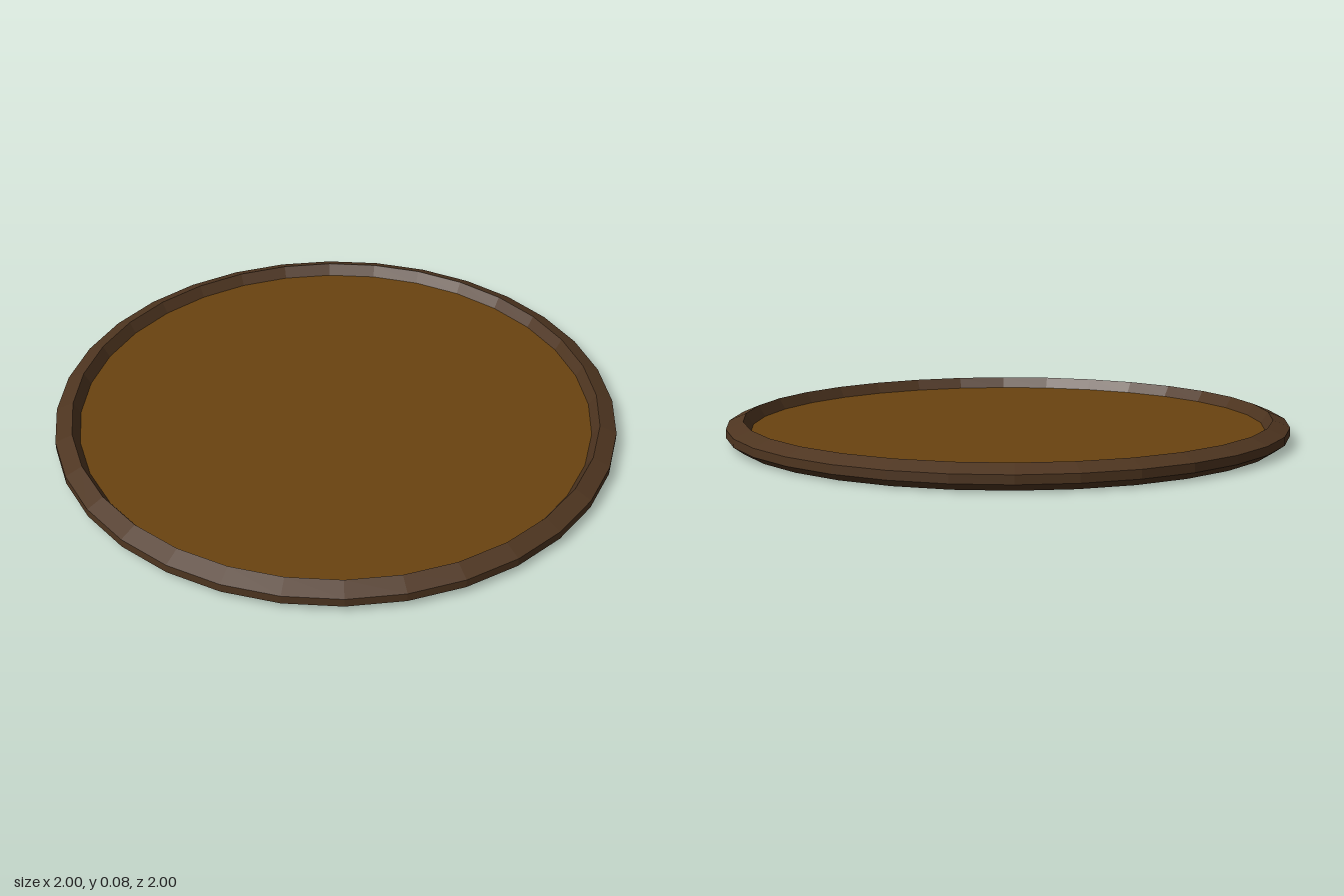
import * as THREE from 'three';

const SIDES = 32;

export function createModel() {
  const tray = new THREE.Group();
  tray.name = 'roundTray';

  const rimMaterial = new THREE.MeshStandardMaterial({ color: 0x4e3520, flatShading: true });
  const floorMaterial = new THREE.MeshStandardMaterial({ color: 0x6a4310, flatShading: true });

  // Rim and underside: one profile from the bottom centre, round the edge, down to the floor
  const profile = [
    [0, 0.02], [0.95, 0.02], // slightly recessed underside
    [0.965, 0], [1, 0.025], [1, 0.055], // bevelled outer edge
    [0.94, 0.08], [0.915, 0.04], // crest and inner wall
  ].map(([r, y]) => new THREE.Vector2(r, y));
  const rim = new THREE.Mesh(new THREE.LatheGeometry(profile, SIDES), rimMaterial);
  rim.name = 'rimAndBase';
  tray.add(rim);

  // Inlaid floor
  const disc = new THREE.CircleGeometry(0.915, SIDES).rotateX(-Math.PI / 2);
  const floor = new THREE.Mesh(disc, floorMaterial);
  floor.name = 'trayFloor';
  floor.position.y = 0.04;
  tray.add(floor);

  return tray;
}
